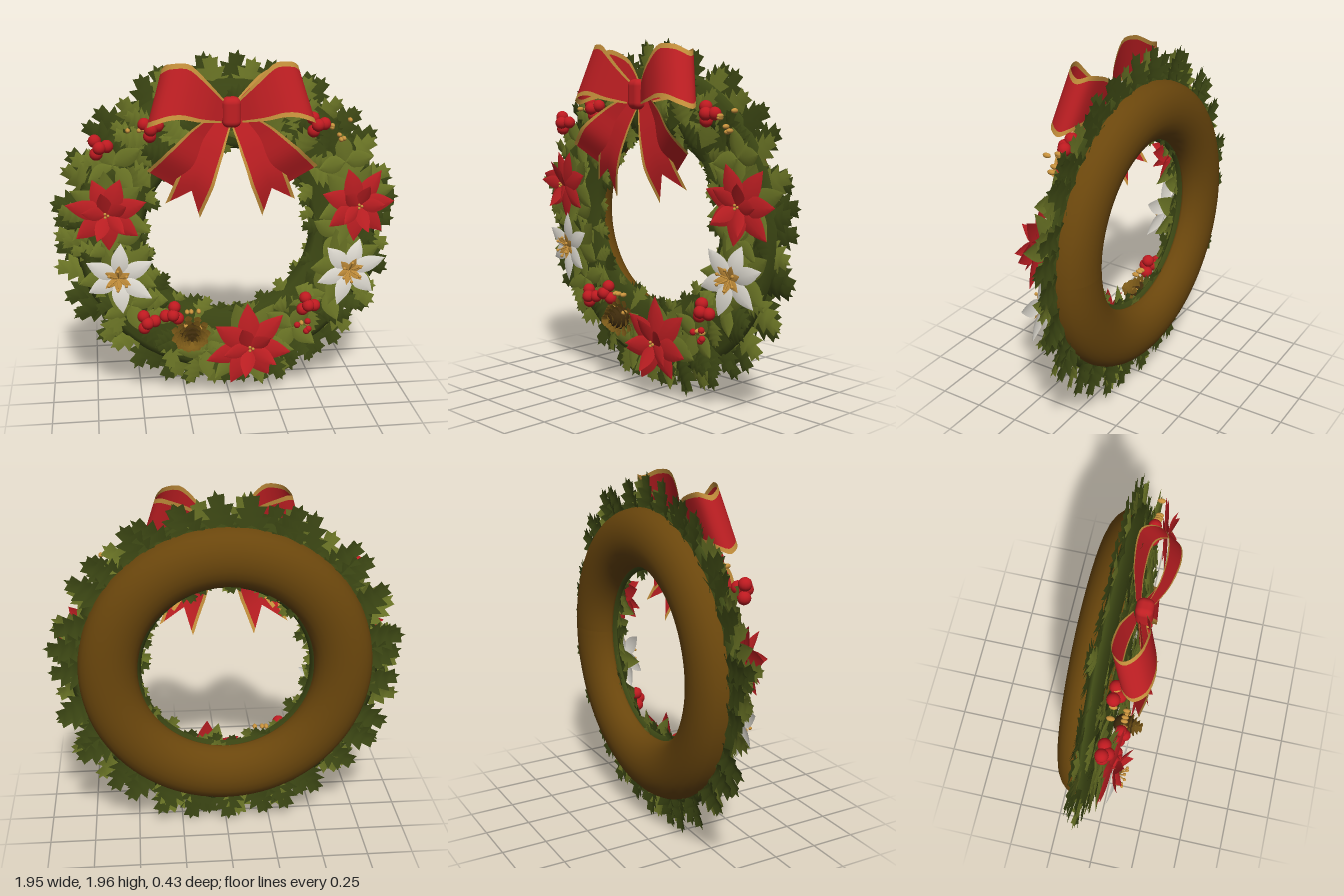
import * as THREE from 'three';
import { mergeGeometries } from 'three/addons/utils/BufferGeometryUtils.js';
import { RoundedBoxGeometry } from 'three/addons/geometries/RoundedBoxGeometry.js';

const mat = (name, color, side = THREE.DoubleSide) => {
  const m = new THREE.MeshStandardMaterial({ color, side });
  m.name = name;
  return m;
};
const M = {
  leaf: mat('leaf green', 0x6c7626), dark: mat('dark leaf green', 0x3d4814),
  ring: mat('ring brown', 0x6a460c, THREE.FrontSide), red: mat('ribbon and petal red', 0xc01f23),
  berry: mat('berry red', 0xbe1a20, THREE.FrontSide), gold: mat('gold', 0xc8923c),
  white: mat('lily white', 0xe6e2d8), cone: mat('cone brown', 0x7c5a18),
  core: mat('dark brown', 0x3f2b0c, THREE.FrontSide),
};

let seed = 7;
const rnd = (a, b) => {
  seed = (seed * 16807) % 2147483647;
  return a + (b - a) * (seed / 2147483647);
};

// Mesh from one geometry or a list; uvs are dropped so that all kinds merge
const mesh = (name, geos, material) => {
  const list = [geos].flat();
  list.forEach(g => g.deleteAttribute('uv'));
  const m = new THREE.Mesh(mergeGeometries(list), material);
  m.name = name;
  return m;
};

// Surface from a grid of points: at(i, j), rows along the length, columns across
function grid(rows, cols, at) {
  const pos = [], idx = [];
  for (let i = 0; i <= rows; i++) for (let j = 0; j <= cols; j++) pos.push(...at(i, j));
  for (let i = 0; i < rows; i++) for (let j = 0; j < cols; j++) {
    const a = i * (cols + 1) + j, d = a + cols + 1;
    idx.push(a, a + 1, d + 1, a, d + 1, d);
  }
  const g = new THREE.BufferGeometry();
  g.setAttribute('position', new THREE.Float32BufferAttribute(pos, 3));
  g.setIndex(idx);
  g.computeVertexNormals();
  return g;
}

// Leaf or petal along +y with a folded midrib; jagged ones get swept spikes
function blade(len, wid, { jag = false, fold = 0.25, curl = 0, peak = 0.8 } = {}) {
  const n = jag ? 11 : 8;
  return grid(n, 2, (i, j) => {
    const t = i / n, spike = jag && i % 2 === 1 && i < n;
    const w = i === n ? 0 : (wid / 2) * Math.sin(Math.PI * Math.pow(t, peak)) * (jag && !spike ? 0.55 : 1);
    const y = t + (spike && j !== 1 ? 0.1 : 0);
    return [(j - 1) * w, y * len, -Math.abs(j - 1) * w * fold + curl * t * t];
  });
}

// Lay a blade at a point, heading along angle a in the front plane, tip lifted forward
function lay(geo, x, y, z, a, lift = 0, roll = 0) {
  const m = new THREE.Matrix4().makeTranslation(x, y, z)
    .multiply(new THREE.Matrix4().makeRotationZ(a - Math.PI / 2))
    .multiply(new THREE.Matrix4().makeRotationX(lift))
    .multiply(new THREE.Matrix4().makeRotationY(roll));
  return geo.applyMatrix4(m);
}

const ball = (r, x, y, z) => new THREE.SphereGeometry(r, 14, 10).translate(x, y, z);
const TAU = Math.PI * 2;

// Ring of blades fanned round a centre
const fan = (n, len, wid, x, y, z, lift, start, opts) => Array.from({ length: n }, (_, i) =>
  lay(blade(len * rnd(0.9, 1.08), wid, opts), x, y, z, start + (i / n) * TAU + rnd(-0.12, 0.12), lift + rnd(-0.08, 0.08)));

function foliage() {
  const g = new THREE.Group(), light = [], dark = [], broad = [];
  g.name = 'foliage';
  const holly = (list, r, a, len, wid, z, dir, lift, roll = 0) =>
    list.push(lay(blade(len, wid, { jag: true, curl: rnd(-0.03, 0.01) }),
      r * Math.cos(a), 1 + r * Math.sin(a), z, dir, lift, roll));
  // outer fringe, front and back layers
  for (let i = 0; i < 32; i++) {
    const a = (i / 32) * TAU, b = a + TAU / 64;
    holly(dark, 0.69, a, rnd(0.27, 0.31), 0.2, -0.09, a + rnd(-0.45, 0.1), 0.02);
    holly(i % 3 ? light : dark, 0.69, b, rnd(0.25, 0.31), 0.19, -0.06, b + rnd(-0.45, 0.25), rnd(-0.08, 0.04), rnd(-0.25, 0.25));
  }
  // inner fringe
  for (let i = 0; i < 36; i++) {
    const a = (i / 36) * TAU;
    holly(i % 2 ? light : dark, 0.58, a, rnd(0.14, 0.19), 0.13, rnd(-0.08, -0.03), a + Math.PI + rnd(-0.5, 0.5), rnd(-0.05, 0.08));
  }
  // leaves covering the face of the wreath
  for (let i = 0; i < 130; i++) {
    const a = i * 2.39996, r = rnd(0.5, 0.76);
    holly(i % 2 ? light : dark, r, a, rnd(0.16, 0.22), rnd(0.12, 0.16), rnd(-0.025, 0),
      a + rnd(-1.5, 1.5), rnd(0, 0.18), rnd(-0.3, 0.3));
  }
  // broad smooth leaves between the flowers
  for (const [x, y] of [[-0.62, 1.4], [-0.62, 0.97], [0.62, 0.96], [0.64, 1.38], [0.55, 0.62], [0.36, 0.42], [-0.13, 0.3], [-0.55, 0.6]])
    broad.push(...fan(4, 0.17, 0.1, x, y, 0.005, 0.2, rnd(0, TAU), { fold: 0.35, curl: -0.02 }));
  g.add(mesh('lightHollyLeaves', light, M.leaf), mesh('darkHollyLeaves', dark, M.dark), mesh('broadLeaves', broad, M.leaf));
  const bed = mesh('foliageBed', new THREE.TorusGeometry(0.65, 0.19, 10, 64).scale(1, 1, 0.22), M.dark);
  bed.position.set(0, 1, -0.07);
  g.add(bed);
  return g;
}

function poinsettia(x, y, s, turn) {
  const g = new THREE.Group();
  g.name = 'poinsettia';
  g.add(mesh('flowerLeaves', fan(6, 0.25, 0.12, 0, 0, -0.04, 0.08, turn + 0.4, { fold: 0.3 }), M.leaf));
  g.add(mesh('petals', [
    ...fan(7, 0.22, 0.115, 0, 0, 0.02, 0.15, turn, { fold: 0.3, curl: -0.04 }),
    ...fan(5, 0.15, 0.08, 0, 0, 0.035, 0.4, turn + 0.3, { fold: 0.3 }),
  ], M.red));
  g.add(mesh('flowerCentre', [0, 1, 2].map(i =>
    ball(0.008, 0.011 * Math.cos(i * 2.1), 0.011 * Math.sin(i * 2.1), 0.045)), M.gold));
  g.position.set(x, y, 0.05);
  g.rotation.y = x * 0.25;
  g.scale.setScalar(s);
  return g;
}

function lily(x, y, turn) {
  const g = new THREE.Group(), stamens = [];
  g.name = 'lily';
  g.add(mesh('flowerLeaves', fan(5, 0.23, 0.12, 0, 0, -0.05, 0.08, turn + 0.5, { fold: 0.3 }), M.leaf));
  g.add(mesh('petals', fan(6, 0.195, 0.095, 0, 0, 0.015, 0.35, turn, { fold: 0.25, curl: -0.06, peak: 0.9 }), M.white));
  for (let i = 0; i < 6; i++) {
    const a = (i / 6) * TAU + 0.5;
    stamens.push(lay(new THREE.CylinderGeometry(0.004, 0.004, 0.07, 6).translate(0, 0.035, 0), 0, 0, 0.02, a, 0.7));
    stamens.push(ball(0.009, 0.054 * Math.cos(a), 0.054 * Math.sin(a), 0.066));
  }
  stamens.push(...fan(6, 0.085, 0.04, 0, 0, 0.025, 0.35, turn, { curl: -0.01 }));
  g.add(mesh('stamens', stamens, M.gold));
  g.position.set(x, y, 0.06);
  g.rotation.y = x * 0.2;
  return g;
}

function pineCone(x, y) {
  const g = new THREE.Group(), scales = [];
  g.name = 'pineCone';
  for (let k = 0; k < 6; k++) for (let i = 0; i < 11 - k; i++) {
    const a = (i / (11 - k)) * TAU + k * 0.5, r = 0.058 - k * 0.01;
    scales.push(lay(blade(0.056 - k * 0.003, 0.045, { fold: -0.2, peak: 1.6 }),
      r * Math.cos(a), r * Math.sin(a), k * 0.018, a, 0.2 + k * 0.16));
  }
  g.add(mesh('coneScales', scales, M.cone));
  g.add(mesh('coneCore', ball(0.065, 0, 0, 0.015), M.core));
  g.position.set(x, y, 0.02);
  return g;
}

// Ribbon swept on a curve; stations are [x, y, z, half width], across is the width direction
function ribbon(name, side, stations, across, notch = 0) {
  const curve = new THREE.CatmullRomCurve3(stations.map(s => new THREE.Vector3(s[0] * side, s[1], s[2])));
  const W = new THREE.Vector3(across[0] * side, across[1], across[2]).normalize();
  const half = u => {
    const f = Math.min(u * (stations.length - 1), stations.length - 1.001), i = Math.floor(f);
    return THREE.MathUtils.lerp(stations[i][3], stations[i + 1][3], f - i);
  };
  const strip = cols => grid(30, cols.length - 1, (i, j) => {
    const u = (i / 30) * (1 - notch * (1 - Math.abs(cols[j])));
    return curve.getPoint(u).addScaledVector(W, half(u) * cols[j]).toArray();
  });
  const g = new THREE.Group();
  g.name = name;
  g.add(mesh('ribbonBand', strip([-0.82, -0.4, 0, 0.4, 0.82]), M.red));
  g.add(mesh('ribbonTrim', [strip([-1, -0.82]), strip([0.82, 1])], M.gold));
  return g;
}

function bow() {
  const g = new THREE.Group();
  g.name = 'bow';
  for (const s of [-1, 1]) {
    g.add(ribbon('bowLoop', s, [
      [0.04, 1.69, 0.11, 0.055], [0.14, 1.75, 0.16, 0.1], [0.26, 1.815, 0.18, 0.145], [0.36, 1.8, 0.155, 0.16],
      [0.4, 1.77, 0.09, 0.155], [0.36, 1.79, 0.03, 0.15], [0.2, 1.77, 0.02, 0.11], [0.04, 1.69, 0.05, 0.05],
    ], [-0.3, 1, -0.23]));
    g.add(ribbon('outerTail', s, [
      [0.04, 1.67, 0.07, 0.04], [0.15, 1.57, 0.11, 0.08], [0.26, 1.45, 0.15, 0.11], [0.36, 1.34, 0.12, 0.12],
    ], [0.75, 0.55, 0.35]));
    g.add(ribbon('innerTail', s, [
      [0.03, 1.66, 0.08, 0.04], [0.12, 1.5, 0.12, 0.08], [0.19, 1.34, 0.13, 0.1], [0.26, 1.16, 0.08, 0.1],
    ], [0.9, 0.4, -0.1], 0.22));
  }
  const knot = mesh('bowKnot', new RoundedBoxGeometry(0.1, 0.16, 0.09, 4, 0.035), M.red);
  knot.position.set(0, 1.69, 0.09);
  g.add(knot);
  return g;
}

export function createModel() {
  const g = new THREE.Group();
  g.name = 'wreath';
  // backing ring, cut flat where the foliage sits on it
  const tube = new THREE.TorusGeometry(0.64, 0.16, 24, 96).scale(1, 1, 0.78);
  const p = tube.attributes.position;
  for (let i = 0; i < p.count; i++) p.setZ(i, Math.min(p.getZ(i), 0.02));
  tube.computeVertexNormals();
  const ring = mesh('backingRing', tube, M.ring);
  ring.position.set(0, 1, -0.098);
  g.add(ring, foliage(), bow());
  g.add(poinsettia(-0.66, 1.15, 0.97, 0.2), poinsettia(0.7, 1.15, 0.97, 0.9), poinsettia(0.11, 0.34, 1.08, 1.57));
  g.add(lily(-0.61, 0.79, 1.57), lily(0.66, 0.78, 1.3), pineCone(-0.22, 0.42));
  // berry clusters
  const berries = [], buds = [];
  for (const [x, y] of [[-0.69, 1.51], [-0.46, 0.51], [-0.32, 0.55], [0.44, 0.57], [0.47, 1.6], [-0.42, 1.6]])
    for (let i = 0; i < 4; i++) {
      const a = i * 2.1 + x * 9, r = i < 3 ? 0.04 : 0;
      berries.push(ball(0.035, x + r * Math.cos(a), y + r * Math.sin(a), i < 3 ? 0.035 : 0.06));
    }
  // small mixed sprigs
  for (const [x, y] of [[-0.47, 1.58], [0.58, 1.57], [0.41, 0.42], [-0.2, 0.51]])
    for (let i = 0; i < 6; i++) {
      const bx = x + rnd(-0.07, 0.07), by = y + rnd(-0.06, 0.06);
      if (x === 0.41 && i % 3) berries.push(ball(0.018, bx, by, 0.05));
      else buds.push(ball(0.013, 0, 0, 0).scale(1, 1, 1.7).translate(bx, by, 0.04));
    }
  g.add(mesh('redBerries', berries, M.berry), mesh('goldBuds', buds, M.gold));
  return g;
}
